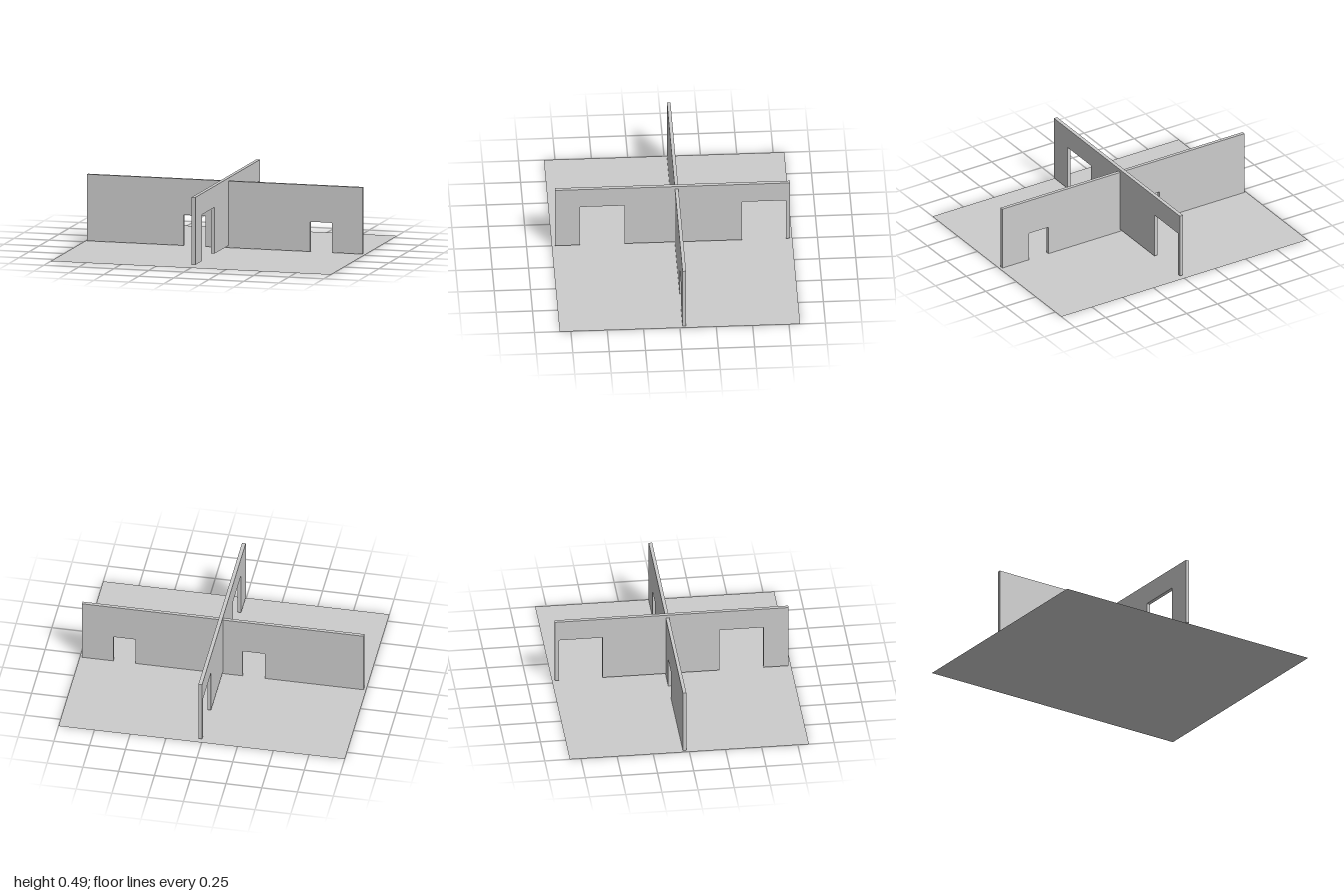
import * as THREE from 'three';

const material = new THREE.MeshStandardMaterial({ color: 0xcccccc, flatShading: true });

// Upright wall with doorways open at the bottom; doors are [start, end, top]
function wall(name, start, end, bottom, top, thickness, doors) {
  const s = new THREE.Shape();
  s.moveTo(start, bottom);
  for (const [a, b, h] of doors) {
    s.lineTo(a, bottom);
    s.lineTo(a, h);
    s.lineTo(b, h);
    s.lineTo(b, bottom);
  }
  s.lineTo(end, bottom);
  s.lineTo(end, top);
  s.lineTo(start, top);
  s.closePath();
  const geometry = new THREE.ExtrudeGeometry(s, { depth: thickness, bevelEnabled: false });
  const mesh = new THREE.Mesh(geometry, material);
  mesh.name = name;
  return mesh;
}

export function createModel() {
  const group = new THREE.Group();
  group.name = 'partitionedFloor';

  // Paper-thin floor
  const floorMaterial = material.clone();
  floorMaterial.side = THREE.DoubleSide;
  const floor = new THREE.Mesh(new THREE.PlaneGeometry(2, 1.654), floorMaterial);
  floor.name = 'floor';
  floor.rotation.x = -Math.PI / 2;
  group.add(floor);

  // Wall running left to right, with two small doorways
  const crossWall = wall('crossWall', -0.984, 0.984, 0.004, 0.468, 0.024, [
    [-0.293, -0.138, 0.217],
    [0.61, 0.765, 0.212],
  ]);
  crossWall.position.z = -0.043;
  group.add(crossWall);

  // Wall running front to back, with two wide doorways; its shape runs along -z
  const longWall = wall('longWall', -0.806, 0.81, 0.019, 0.489, 0.026, [
    [-0.634, -0.328, 0.342],
    [0.481, 0.783, 0.342],
  ]);
  longWall.rotation.y = Math.PI / 2;
  group.add(longWall);

  return group;
}
